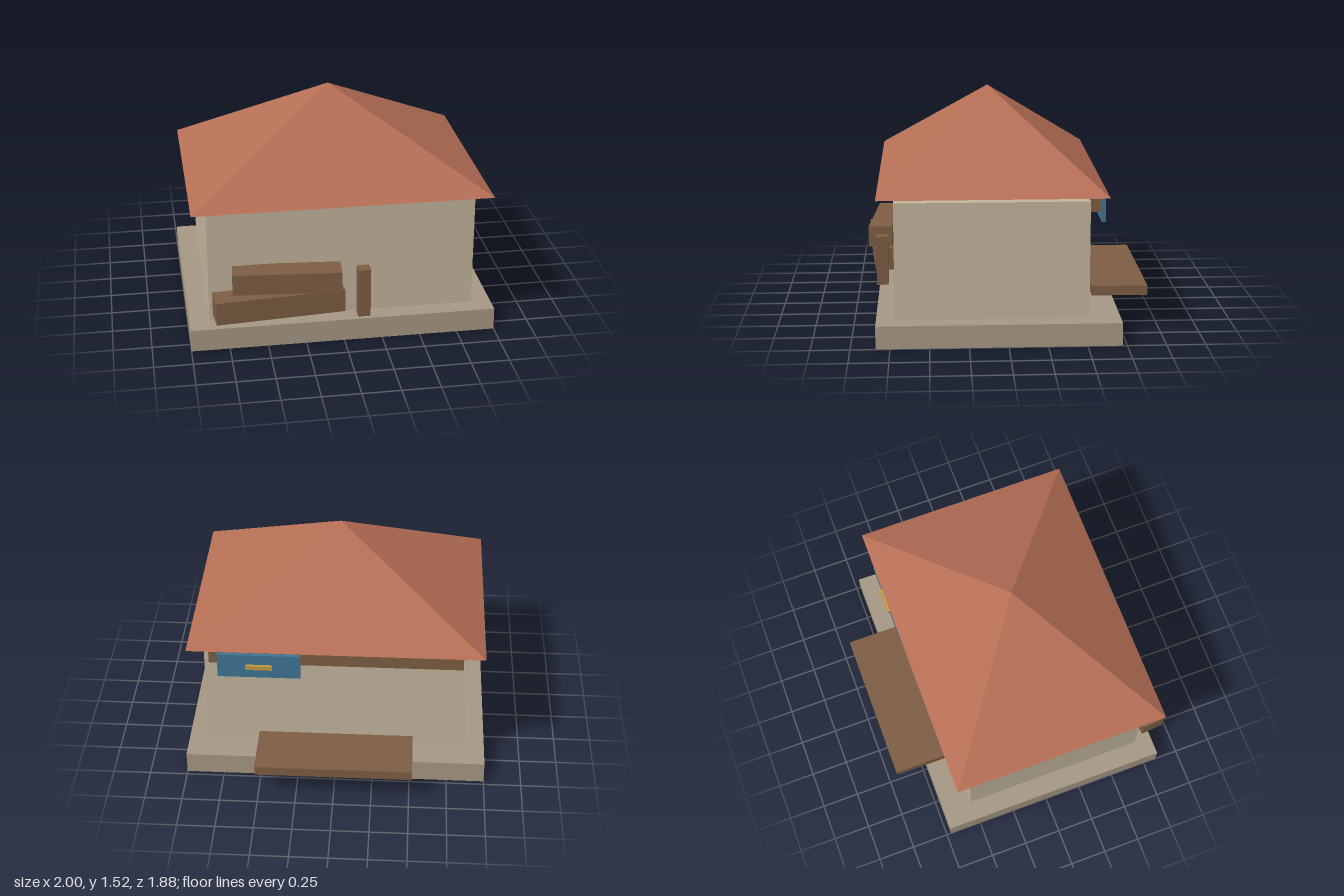
import * as THREE from 'three';

const paint = (color) => new THREE.MeshStandardMaterial({ color, flatShading: true });

export function createModel() {
  const model = new THREE.Group();
  const stone = paint(0xa59783);
  const plaster = paint(0xc2b49c);
  const tile = paint(0xb56e55);
  const wood = paint(0x7c5d43);
  const blue = paint(0x3f7394);
  const brass = paint(0xc29a45);

  // Box given by its limits along x, y and z
  function block(name, material, [x0, x1], [y0, y1], [z0, z1], turn = 0) {
    const mesh = new THREE.Mesh(new THREE.BoxGeometry(x1 - x0, y1 - y0, z1 - z0), material);
    mesh.position.set((x0 + x1) / 2, (y0 + y1) / 2, (z0 + z1) / 2);
    mesh.rotation.y = turn;
    mesh.name = name;
    model.add(mesh);
    return mesh;
  }

  // Foundation and walls
  block('foundation', stone, [-1, 1], [0, 0.15], [-0.72, 0.84]);
  block('walls', plaster, [-0.87, 0.87], [0.15, 0.91], [-0.52, 0.72]);

  // Short corner posts that lift the roof off the walls
  for (const x of [-0.74, 0.74]) {
    for (const z of [-0.477, 0.6]) {
      block('roofPost', wood, [x - 0.043, x + 0.043], [0.9, 0.95], [z - 0.043, z + 0.043]);
    }
  }

  // Pyramid roof with a closed underside
  const pyramid = new THREE.ConeGeometry(Math.SQRT1_2, 0.57, 4);
  pyramid.rotateY(Math.PI / 4);
  pyramid.scale(1.94, 1, 1.46);
  const roof = new THREE.Mesh(pyramid, tile);
  roof.position.set(0, 0.95 + 0.285, 0.097);
  roof.name = 'roof';
  model.add(roof);

  // Rail along the back wall with a sliding panel and its handle
  block('backRail', wood, [-0.83, 0.83], [0.83, 0.915], [-0.587, -0.518]);
  block('slidingPanel', blue, [0.23, 0.77], [0.75, 0.925], [-0.627, -0.602]);
  block('panelHandle', brass, [0.412, 0.585], [0.82, 0.852], [-0.644, -0.625]);

  // Step behind the house
  block('backStep', wood, [-0.517, 0.517], [0.185, 0.25], [-0.942, -0.572]);

  // Stacked timbers and an upright stake in front
  block('lowerTimber', wood, [-0.845, -0.005], [0.23, 0.385], [0.742, 0.902], 0.08);
  block('upperTimber', wood, [-0.721, -0.021], [0.395, 0.535], [0.727, 0.887], -0.08);
  block('stake', wood, [0.087, 0.168], [0.175, 0.51], [0.778, 0.856]);

  return model;
}
